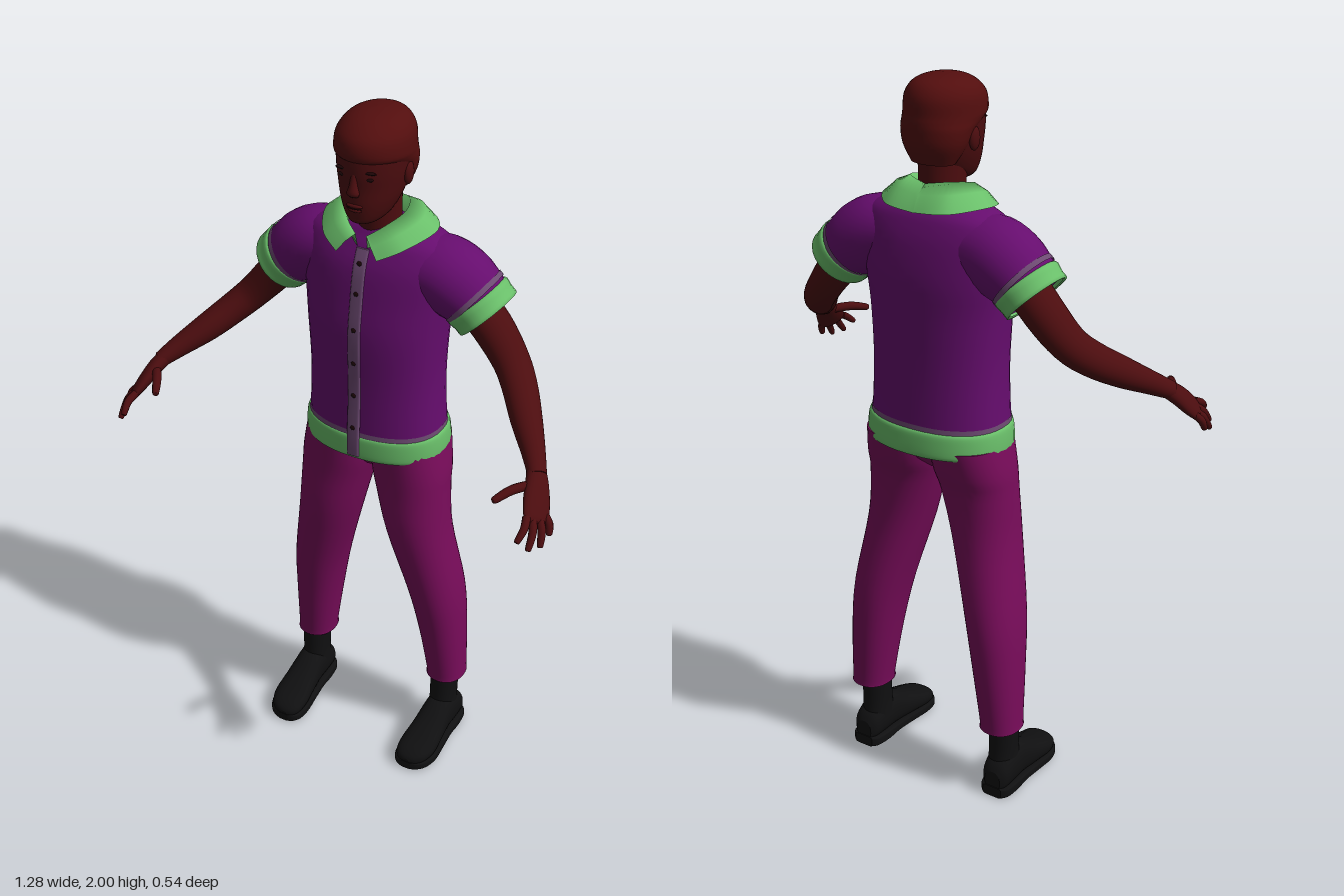
import * as THREE from 'three';

const mat = (name, color, double) => {
  const m = new THREE.MeshStandardMaterial({ color });
  m.name = name;
  if (double) m.side = THREE.DoubleSide;
  return m;
};
const V = (x, y, z) => new THREE.Vector3(x, y, z);
const X = V(1, 0, 0), Y = V(0, 1, 0), Z = V(0, 0, 1);

// Smooth every column of a station table with a Catmull-Rom spline
function resample(st, k) {
  const out = [], n = st.length;
  for (let i = 0; i < n - 1; i++) {
    const p = [st[Math.max(i - 1, 0)], st[i], st[i + 1], st[Math.min(i + 2, n - 1)]];
    for (let s = 0; s < k; s++) {
      const t = s / k;
      out.push(p[1].map((b, c) => {
        const a = p[0][c], d = p[2][c], e = p[3][c];
        return b + 0.5 * t * (d - a + t * (2 * a - 5 * b + 4 * d - e + t * (3 * (b - d) + e - a)));
      }));
    }
  }
  out.push(st[n - 1]);
  return out;
}

// Superelliptical tube through stations [x, y, z, radius along ref, other radius]
function loft(stations, { ref = X, axis = null, seg = 28, p = 2, k = 4, caps = true } = {}) {
  const st = resample(stations, k), n = st.length, pos = [], idx = [];
  const c = st.map(s => V(s[0], s[1], s[2]));
  const bend = v => Math.sign(v) * Math.pow(Math.abs(v), 2 / p);
  const ring = i => {
    const t = axis ? axis.clone() : c[Math.min(i + 1, n - 1)].clone().sub(c[Math.max(i - 1, 0)]).normalize();
    const side = ref.clone().addScaledVector(t, -ref.dot(t)).normalize();
    const other = t.clone().cross(side);
    for (let j = 0; j < seg; j++) {
      const a = j / seg * Math.PI * 2;
      const v = c[i].clone().addScaledVector(side, st[i][3] * bend(Math.cos(a)))
        .addScaledVector(other, st[i][4] * bend(Math.sin(a)));
      pos.push(v.x, v.y, v.z);
    }
  };
  for (let i = 0; i < n; i++) ring(i);
  for (let i = 0; i < n - 1; i++) for (let j = 0; j < seg; j++) {
    const a = i * seg + j, b = i * seg + (j + 1) % seg;
    idx.push(a, b, b + seg, a, b + seg, a + seg);
  }
  if (caps) for (const i of [0, n - 1]) {
    const base = pos.length / 3;
    ring(i);
    pos.push(c[i].x, c[i].y, c[i].z);
    for (let j = 0; j < seg; j++) {
      const a = base + j, b = base + (j + 1) % seg;
      idx.push(...(i ? [a, b, base + seg] : [b, a, base + seg]));
    }
  }
  return makeGeo(pos, idx);
}
function makeGeo(pos, idx) {
  const g = new THREE.BufferGeometry();
  g.setAttribute('position', new THREE.Float32BufferAttribute(pos, 3));
  g.setIndex(idx);
  g.computeVertexNormals();
  return g;
}
function mirror(geo) {
  const g = geo.clone().scale(-1, 1, 1), ix = g.index.array;
  for (let i = 0; i < ix.length; i += 3) [ix[i], ix[i + 1]] = [ix[i + 1], ix[i]];
  g.computeVertexNormals();
  return g;
}
const ball = (x, y, z, a, b, c) => new THREE.SphereGeometry(1, 16, 12).scale(a, b, c).translate(x, y, z);

export function createModel() {
  const model = new THREE.Group();
  const skin = mat('skin', 0x4c0d0f), hair = mat('hair', 0x530e0e), dark = mat('dark features', 0x1c0506);
  const shirt = mat('shirt purple', 0x660d6e, true), trim = mat('trim green', 0x6abf6a, true);
  const edge = mat('placket mauve', 0x6d4a72, true), cloth = mat('trouser magenta', 0x780c5a);
  const black = mat('shoe black', 0x101011);
  const add = (name, geo, m) => {
    const mesh = new THREE.Mesh(geo, m);
    mesh.name = name;
    model.add(mesh);
  };
  const pair = (name, geo, m) => {
    add(name + 'Left', geo, m);
    add(name + 'Right', mirror(geo), m);
  };
  const up = { axis: Y, seg: 40 };

  // Shirt body
  const torso = [[0, 1.04, -.118, .198, .142], [0, 1.1, -.116, .194, .14], [0, 1.25, -.114, .188, .137],
    [0, 1.4, -.113, .195, .139], [0, 1.5, -.12, .206, .134], [0, 1.59, -.122, .214, .12],
    [0, 1.645, -.125, .204, .1], [0, 1.672, -.125, .165, .085], [0, 1.69, -.12, .11, .07], [0, 1.7, -.115, .06, .055]];
  add('shirtBody', loft(torso, { ...up, p: 2.3 }), shirt);
  add('shirtHem', loft([[0, 1.03, -.119, .203, .147], [0, 1.04, -.119, .206, .15], [0, 1.07, -.118, .205, .149],
    [0, 1.095, -.117, .201, .146], [0, 1.102, -.116, .192, .138]], { ...up, p: 2.3 }), trim);
  add('hemEdging', loft([[0, 1.095, -.116, .197, .143], [0, 1.113, -.116, .195, .141]], { ...up, p: 2.3, caps: false }), edge);

  // Button placket follows the chest
  const front = torso.slice(0, 7).map(s => [0, s[1], s[2] + s[4] - .001 + (s[1] < 1.11 ? .007 : 0), .018, .006]);
  add('placket', loft(front, { axis: Y, p: 4, seg: 16 }), edge);
  const curve = resample(front, 12);
  for (const y of [1.13, 1.23, 1.33, 1.43, 1.53, 1.61]) {
    const s = curve.reduce((a, b) => Math.abs(b[1] - y) < Math.abs(a[1] - y) ? b : a);
    add('button', ball(0, y, s[2] + .005, .007, .007, .004), dark);
  }

  // Sleeves and cuffs
  pair('sleeve', loft([[.08, 1.59, -.125, .09, .075], [.17, 1.578, -.13, .1, .095], [.225, 1.55, -.134, .1, .098],
    [.265, 1.52, -.136, .094, .088], [.296, 1.492, -.137, .088, .08]], { ref: Z, caps: false }), shirt);
  pair('cuff', loft([[.268, 1.517, -.136, .094, .088], [.274, 1.512, -.136, .099, .092], [.29, 1.497, -.137, .096, .088],
    [.305, 1.483, -.137, .097, .087], [.303, 1.485, -.137, .085, .076]], { ref: V(0, 0, 1), axis: V(.7, -.714, 0).normalize(), caps: false, k: 2 }), trim);
  pair('cuffEdging', loft([[.259, 1.525, -.136, .098, .092], [.27, 1.516, -.136, .097, .091]],
    { ref: Z, caps: false }), edge);

  // Folded collar: stand, fold and outer edge swept from the nape to the front point
  const collarCurves = [
    [[0, 1.67, -.17], [.05, 1.67, -.15], [.07, 1.67, -.1], [.05, 1.66, -.05], [.014, 1.65, -.02]],
    [[0, 1.737, -.18], [.06, 1.745, -.158], [.08, 1.735, -.1], [.055, 1.715, -.04], [.015, 1.688, -.012]],
    [[0, 1.715, -.212], [.08, 1.722, -.195], [.122, 1.72, -.115], [.09, 1.697, -.032], [.035, 1.67, .004]],
    [[0, 1.675, -.235], [.095, 1.682, -.222], [.158, 1.688, -.13], [.118, 1.668, -.025], [.058, 1.64, .014]]
  ].map(c => resample(c, 6));
  const cp = collarCurves.flat(2), ci = [], m = collarCurves[0].length;
  for (let r = 0; r < 3; r++) for (let j = 0; j < m - 1; j++) {
    const a = r * m + j;
    ci.push(a, a + m, a + 1, a + 1, a + m, a + m + 1);
  }
  pair('collar', makeGeo(cp, ci), trim);

  // Arms
  pair('arm', loft([[.22, 1.56, -.13, .06, .055], [.32, 1.45, -.132, .059, .052], [.385, 1.375, -.115, .054, .046],
    [.43, 1.33, -.075, .05, .043], [.48, 1.285, -.01, .043, .039], [.53, 1.245, .055, .032, .03],
    [.565, 1.215, .105, .026, .022]], { ref: Z }), skin);

  // Hands
  const spread = V(-.45, .25, .85).normalize();
  pair('palm', loft([[.553, 1.226, .088, .024, .022], [.572, 1.2, .12, .034, .021], [.588, 1.168, .155, .041, .018],
    [.6, 1.142, .183, .037, .013], [.604, 1.134, .19, .02, .006]], { ref: spread, seg: 20 }), skin);
  const finger = (name, a, b, c, r) => pair(name, loft([[...a, r, r], [...b, r, r], [...c, r * .75, r * .75],
    [...c.map((v, i) => v + (v - b[i]) * .08), r * .2, r * .2]], { ref: V(.3, .9, .2), seg: 10 }), skin);
  const tips = [[.586, 1.12, .262], [.61, 1.093, .245], [.628, 1.088, .212], [.634, 1.1, .172]];
  tips.forEach((tip, i) => {
    const base = V(.597, 1.148, .178).addScaledVector(spread, .03 - .02 * i);
    const mid = base.clone().lerp(V(...tip), .5).add(V(.006, .004, 0));
    finger('finger', base.toArray(), mid.toArray(), tip, .0105);
  });
  finger('thumb', [.568, 1.2, .122], [.53, 1.203, .175], [.503, 1.192, .222], .0125);

  // Neck, head and hair
  add('neck', loft([[0, 1.62, -.115, .064, .062], [0, 1.7, -.108, .06, .062], [0, 1.82, -.1, .062, .07]], up), skin);
  add('head', loft([[0, 1.724, -.035, .022, .025], [0, 1.732, -.04, .04, .052], [0, 1.75, -.058, .058, .077],
    [0, 1.785, -.072, .074, .096], [0, 1.825, -.083, .085, .107], [0, 1.87, -.089, .092, .116],
    [0, 1.92, -.092, .094, .114], [0, 1.96, -.095, .08, .09]], up), skin);
  add('hair', loft([[0, 1.785, -.145, .062, .04], [0, 1.83, -.135, .086, .072], [0, 1.87, -.122, .096, .09],
    [0, 1.892, -.1, .099, .112], [0, 1.91, -.089, .1, .121], [0, 1.95, -.091, .095, .116],
    [0, 1.98, -.098, .074, .09], [0, 1.995, -.1, .043, .052], [0, 2, -.1, .004, .005]], up), hair);
  add('nose', loft([[0, 1.872, .019, .008, .007], [0, 1.84, .026, .011, .011], [0, 1.82, .029, .017, .013],
    [0, 1.81, .023, .012, .009]], { axis: V(0, -1, 0), seg: 16 }), skin);
  add('upperLip', ball(0, 1.783, .021, .023, .006, .008), skin);
  add('lowerLip', ball(0, 1.771, .019, .019, .006, .008), skin);
  add('mouthLine', ball(0, 1.777, .023, .021, .0018, .005), dark);
  add('chin', ball(0, 1.744, 0, .025, .016, .018), skin);
  pair('ear', ball(.09, 1.846, -.095, .011, .031, .02).rotateY(0), skin);
  pair('eye', ball(.036, 1.858, .013, .013, .005, .006), dark);
  pair('brow', ball(.037, 1.876, .014, .02, .004, .007), dark);

  // Trousers
  add('trouserSeat', loft([[0, .955, -.11, .03, .05], [0, 1, -.118, .15, .09], [0, 1.07, -.118, .19, .12]], { ...up, p: 2.3 }), cloth);
  pair('trouserLeg', loft([[.2225, .212, -.15, .058, .066], [.222, .23, -.15, .0565, .065], [.207, .4, -.143, .0675, .082],
    [.187, .55, -.13, .0775, .095], [.141, .76, -.103, .091, .0975], [.118, .9, -.105, .104, .1],
    [.108, .97, -.114, .11, .112], [.1, 1.05, -.122, .104, .126]], { ...up, p: 2.2 }), cloth);

  // Socks and shoes
  pair('sock', loft([[.222, .08, -.135, .043, .052], [.222, .14, -.136, .04, .047], [.222, .24, -.138, .043, .049]], up), black);
  const shoe = [[.226, -.203, .025, .08], [.226, -.185, .04, .105], [.225, -.14, .045, .13], [.224, -.09, .045, .13],
    [.223, -.03, .05, .1], [.221, .03, .055, .075], [.217, .07, .047, .062], [.214, .09, .03, .05], [.213, .097, .012, .04]];
  pair('shoeUpper', loft(shoe.map(([x, z, r, top]) => [x, top / 2 + .008, z, r, top / 2 - .008]),
    { axis: Z, p: 2.4 }), black);
  pair('shoeSole', loft(shoe.map(([x, z, r]) => [x, z < -.1 ? .016 : .017, z * 1.01, r + .005, z < -.1 ? .016 : .013]),
    { axis: Z, p: 6, seg: 32 }), black);
  return model;
}
